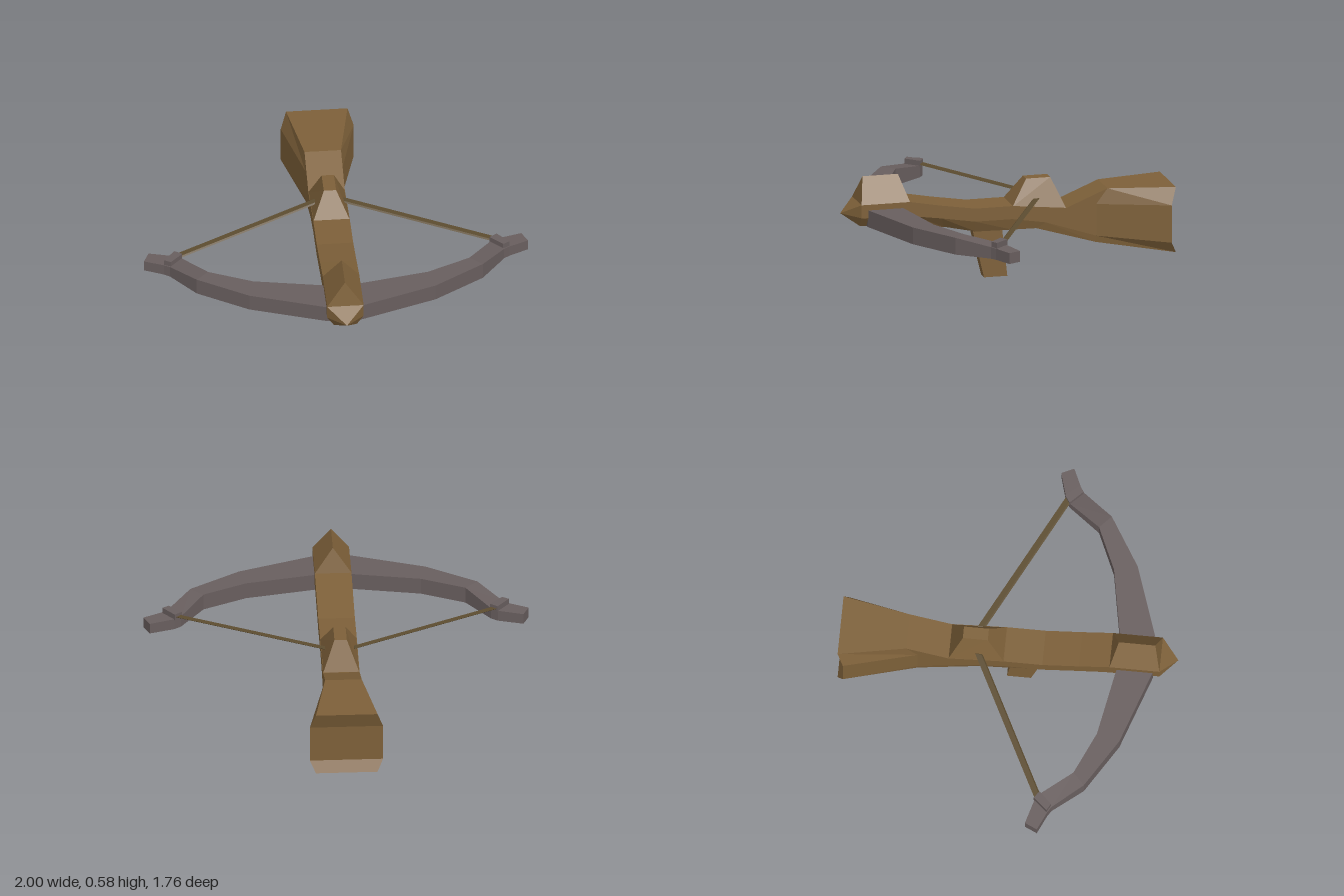
import * as THREE from 'three';

const material = (color) => new THREE.MeshStandardMaterial({ color, flatShading: true, side: THREE.DoubleSide });
const wood = material(0x7d6039), metal = material(0x685e5e), cord = material(0x5c4c30);

// Skin a list of equally sized rings, closing both ends with a fan
function loft(rings) {
  const n = rings[0].length, tris = [];
  for (let r = 0; r + 1 < rings.length; r++) {
    for (let i = 0; i < n; i++) {
      const j = (i + 1) % n, a = rings[r], b = rings[r + 1];
      tris.push([a[i], a[j], b[j]], [a[i], b[j], b[i]]);
    }
  }
  const cap = (ring, end) => {
    // quad strips across mirrored pairs, so a notched end keeps its shape
    for (let i = 0; i < n / 2 - 1; i++) {
      const a = ring[i], b = ring[i + 1], c = ring[n - 2 - i], d = ring[n - 1 - i];
      tris.push(...(end ? [[a, b, c], [a, c, d]] : [[a, c, b], [a, d, c]]));
    }
  };
  cap(rings[0], false);
  cap(rings[rings.length - 1], true);

  // Turn the faces outward and drop collapsed ones
  const v = (p) => new THREE.Vector3(...p);
  let volume = 0;
  for (const [a, b, c] of tris) volume += v(a).dot(v(b).cross(v(c)));
  const data = [];
  for (const [a, b, c] of tris) {
    if (v(b).sub(v(a)).cross(v(c).sub(v(a))).length() < 1e-7) continue;
    data.push(...a, ...(volume < 0 ? [...c, ...b] : [...b, ...c]));
  }
  const geometry = new THREE.BufferGeometry();
  geometry.setAttribute('position', new THREE.Float32BufferAttribute(data, 3));
  geometry.computeVertexNormals();
  return geometry;
}

// Level rectangle: half width, height, front z and back z
const rect = (w, y, z0, z1, y1 = y) => [[w, y, z0], [w, y1, z1], [-w, y1, z1], [-w, y, z0]];

export function createModel() {
  const group = new THREE.Group();
  const add = (name, geometry, mat) => {
    const mesh = new THREE.Mesh(geometry, mat);
    mesh.name = name;
    group.add(mesh);
  };

  // Stock: eight-point rings from nose to butt
  const ring = (top, upper, lower, bottom) => {
    const right = [top, upper, lower, bottom];
    return [...right, ...right.map(([x, y, z]) => [-x, y, z]).reverse()];
  };
  const nose = [0, 0.39, 0.88];
  add('stock', loft([
    ring(nose, nose, nose, nose),
    ring([0.095, 0.45, 0.79], [0.095, 0.45, 0.79], [0.095, 0.38, 0.79], [0.06, 0.33, 0.79]),
    ring([0.095, 0.45, 0.53], [0.095, 0.45, 0.53], [0.095, 0.37, 0.5], [0.06, 0.3, 0.47]),
    ring([0.095, 0.42, 0.37], [0.095, 0.42, 0.37], [0.095, 0.35, 0.36], [0.06, 0.295, 0.34]),
    ring([0.095, 0.39, 0.18], [0.095, 0.39, 0.18], [0.095, 0.32, 0.18], [0.07, 0.26, 0.17]),
    ring([0.095, 0.39, -0.02], [0.095, 0.39, -0.02], [0.095, 0.32, -0.02], [0.08, 0.26, -0.02]),
    ring([0.095, 0.36, -0.31], [0.095, 0.36, -0.31], [0.095, 0.29, -0.2], [0.085, 0.26, -0.15]),
    ring([0.095, 0.45, -0.53], [0.095, 0.37, -0.47], [0.095, 0.2, -0.47], [0.09, 0.165, -0.47]),
    ring([0.16, 0.45, -0.88], [0.19, 0.36, -0.85], [0.19, 0.16, -0.85], [0.16, 0.1, -0.88]),
  ]), wood);

  // Ridge-topped front block, bolt catch and grip
  add('frontBlock', loft([rect(0.095, 0.45, 0.79, 0.53), rect(0, 0.58, 0.76, 0.57)]), wood);
  add('boltCatch', loft([rect(0.095, 0.385, -0.02, -0.31, 0.355), rect(0.032, 0.515, -0.11, -0.24)]), wood);
  add('triggerGrip', loft([rect(0.03, 0.27, 0.18, 0.02), rect(0.03, 0, 0.115, -0.01)]), wood);

  // Bow: outer x, outer z, inner x, inner z, top height
  const half = [
    [0.09, 0.755, 0.09, 0.567, 0.42], [0.485, 0.62, 0.455, 0.5, 0.42],
    [0.745, 0.46, 0.68, 0.4, 0.42], [0.87, 0.305, 0.805, 0.235, 0.392],
    [0.9, 0.285, 0.84, 0.212, 0.39], [1, 0.24, 0.97, 0.175, 0.388],
  ];
  const bowRing = (s) => ([ox, oz, ix, iz, top]) =>
    [[s * ox, 0.33, oz], [s * ox, top, oz], [s * ix, top, iz], [s * ix, 0.33, iz]];
  add('bow', loft([...half.map(bowRing(-1)).reverse(), ...half.map(bowRing(1))]), metal);

  // String clamps and the two halves of the string
  for (const s of [1, -1]) {
    const side = s > 0 ? 'left' : 'right';
    const clamp = (y) => [[0.865, 0.3], [0.9, 0.28], [0.838, 0.208], [0.8, 0.235]].map(([x, z]) => [s * x, y, z]);
    add(side + 'StringClamp', loft([clamp(0.385), clamp(0.42)]), metal);
    const strand = (x, y, z) => [[-0.008, -0.016], [0.008, -0.016], [0.008, 0.016], [-0.008, 0.016]]
      .map(([dx, dz]) => [s * (x + dx), y, z + dz])
      .map(([px, py, pz], i) => [px, py + (i % 3 ? 0.003 : -0.003), pz]);
    add(side + 'String', loft([strand(0.83, 0.4, 0.23), strand(0.07, 0.415, -0.155)]), cord);
  }
  return group;
}
